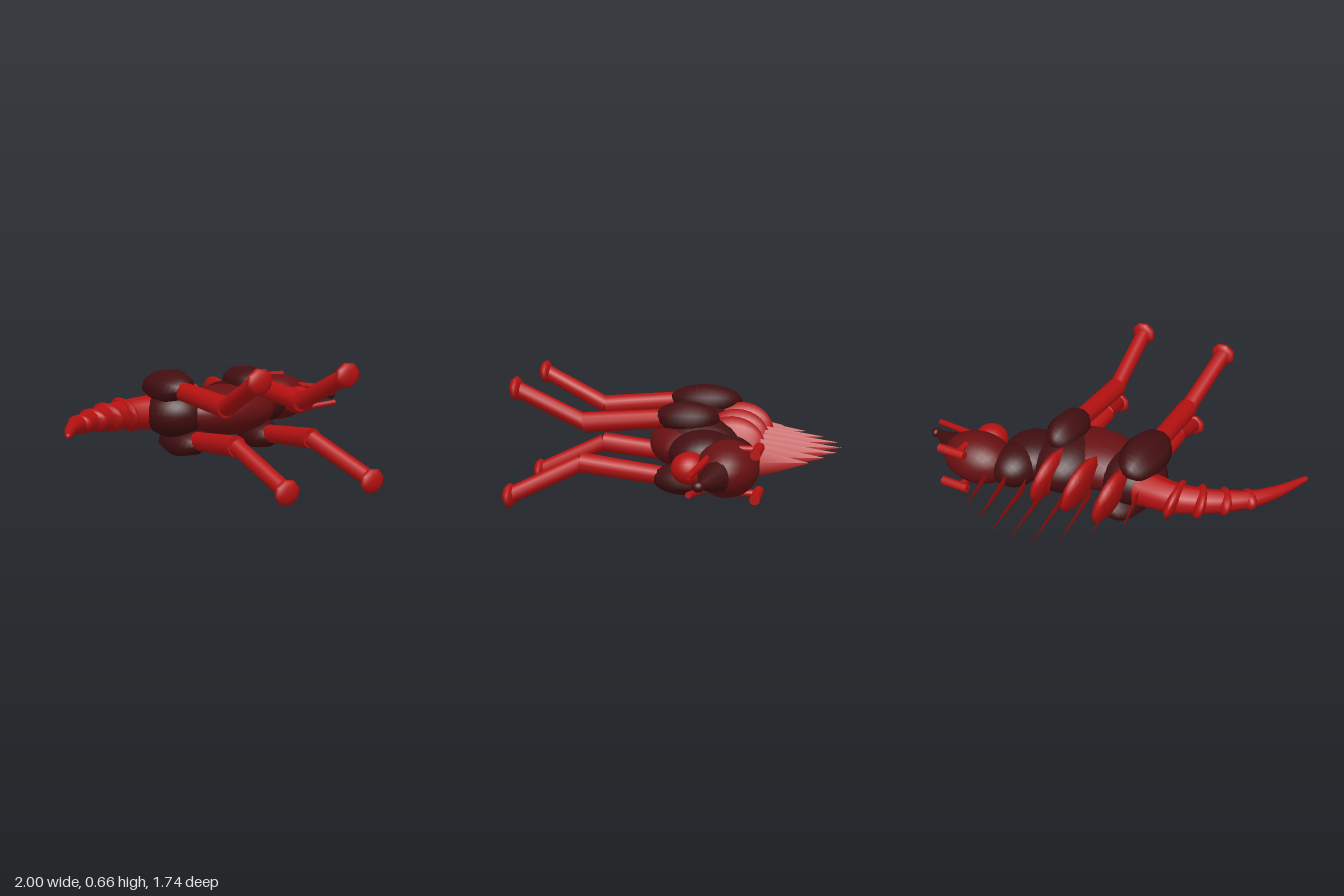
import * as THREE from 'three';

const V = (x, y, z) => new THREE.Vector3(x, y, z);

export function createModel() {
  const make = (name, color) => {
    const m = new THREE.MeshStandardMaterial({ color });
    m.name = name;
    return m;
  };
  const red = make('bright red', 0xb51111);
  const hide = make('dark red hide', 0x681012);
  const dark = make('deep maroon', 0x420e10);

  // The beast is modelled upright (x forward, y up), then laid on its side.
  const beast = new THREE.Group();
  beast.name = 'beast';
  const YAW = -0.28;

  function add(name, geometry, material, pos, parent = beast) {
    const mesh = new THREE.Mesh(geometry, material);
    mesh.name = name;
    mesh.position.copy(pos);
    parent.add(mesh);
    return mesh;
  }
  function ellipsoid(name, material, pos, radii, yaw = 0, sides = 24) {
    const mesh = add(name, new THREE.SphereGeometry(1, sides, 16), material, pos);
    mesh.scale.copy(radii);
    mesh.rotation.y = yaw;
    return mesh;
  }
  // Tapered rod from a to b
  function rod(name, material, a, b, ra, rb, sides = 12) {
    const dir = b.clone().sub(a);
    const geo = new THREE.CylinderGeometry(rb, ra, dir.length(), sides);
    const mesh = add(name, geo, material, a.clone().add(b).multiplyScalar(0.5));
    mesh.quaternion.setFromUnitVectors(V(0, 1, 0), dir.normalize());
    return mesh;
  }

  // Trunk and neck
  ellipsoid('belly', hide, V(0.08, 0.06, 0), V(0.32, 0.205, 0.14));
  ellipsoid('rump', dark, V(-0.18, 0.1, 0), V(0.18, 0.18, 0.14));
  ellipsoid('chest', dark, V(0.19, 0.14, 0), V(0.19, 0.23, 0.15));
  ellipsoid('neckBase', dark, V(0.38, 0.19, 0), V(0.17, 0.18, 0.12));
  ellipsoid('neck', dark, V(0.42, 0.31, 0), V(0.13, 0.15, 0.11));

  // Head, snout and throat pouch
  ellipsoid('head', hide, V(0.635, 0.35, 0), V(0.2, 0.152, 0.135));
  rod('snout', dark, V(0.77, 0.33, 0), V(0.975, 0.267, 0), 0.085, 0.012);
  ellipsoid('nose', dark, V(0.972, 0.268, 0), V(0.026, 0.03, 0.026));
  ellipsoid('throatPouch', red, V(0.67, 0.17, 0), V(0.092, 0.09, 0.08));

  // Legs: each left/right pair is staggered along the body
  const legs = [
    { name: 'front', hip: [0.28, 0.05], knee: [0.27, 0.035], foot: [0.33, 0.083], u: 0.075, r: [0.1, 0.168, 0.085] },
    { name: 'rear', hip: [-0.19, 0.05], knee: [-0.185, 0.03], foot: [-0.18, 0.08], u: 0.09, r: [0.122, 0.203, 0.085] },
  ];
  for (const side of [1, -1]) {
    for (const { name, hip, knee, foot, u, r } of legs) {
      const at = ([x, off], y, z) => V(x - side * off, y, side * z);
      const kneePos = at(knee, -0.475, 0.1);
      const anklePos = at(foot, -0.83, 0.265);
      ellipsoid(name + 'Thigh', dark, at(hip, u, 0.15), V(...r), YAW, 8);
      rod(name + 'UpperLeg', red, at(hip, -0.02, 0.142), kneePos, 0.05, 0.055);
      rod(name + 'LowerLeg', red, kneePos, anklePos, 0.045, 0.043);
      ellipsoid(name + 'Foot', red, at(foot, -0.84, 0.27), V(0.07, 0.034, 0.065), YAW, 8);
    }

    // Horns with crosswise caps, and tusks
    rod('hornStalk', red, V(0.665, 0.41, side * 0.108), V(0.665, 0.49, side * 0.108), 0.018, 0.018);
    rod('hornCap', red, V(0.617, 0.5, side * 0.108), V(0.775, 0.5, side * 0.108), 0.025, 0.025);
    rod('tusk', red, V(0.72, 0.275, side * 0.075), V(0.972, 0.222, side * 0.042), 0.018, 0.016, 8);
  }

  // Broad back plates
  for (const x of [-0.152, 0.035, 0.217]) {
    ellipsoid('backPlate', red, V(x, 0.3, 0), V(0.05, 0.18, 0.16), YAW, 8);
  }

  // Row of flat spikes: base height, tip height
  const spikes = [[0.28, 0.52], [0.35, 0.65], [0.37, 0.76], [0.42, 0.84],
    [0.43, 0.865], [0.46, 0.85], [0.48, 0.795], [0.49, 0.727]];
  spikes.forEach(([base, tip], i) => {
    const h = tip - base;
    const geo = new THREE.ConeGeometry(1, h, 4);
    geo.scale(0.012, 1, 0.065);
    geo.rotateY(YAW);
    const p = geo.attributes.position;
    // Lean the tip backwards
    for (let k = 0; k < p.count; k++) {
      p.setX(k, p.getX(k) - 0.05 * (p.getY(k) / h + 0.5));
    }
    geo.computeVertexNormals();
    add('backSpike', geo, red, V(-0.28 + i * 0.1125, base + h / 2, 0));
  });

  // Tail: tapered sections along a drooping curve
  const curve = new THREE.CatmullRomCurve3([
    V(-0.25, 0.17, 0), V(-0.45, 0.17, 0), V(-0.575, 0.13, 0), V(-0.69, 0.07, 0),
    V(-0.8, -0.01, 0), V(-0.895, -0.13, 0), V(-0.985, -0.3, 0),
  ]);
  const steps = 28, sides = 14;
  const tail = new THREE.TubeGeometry(curve, steps, 1, sides);
  const tp = tail.attributes.position;
  for (let i = 0; i <= steps; i++) {
    const c = curve.getPointAt(i / steps);
    const r = 0.1 - 0.085 * (i / steps);
    for (let j = 0; j <= sides; j++) {
      const k = i * (sides + 1) + j;
      const v = V(0, 0, 0).fromBufferAttribute(tp, k).sub(c).multiplyScalar(r).add(c);
      tp.setXYZ(k, v.x, v.y, v.z);
    }
  }
  tail.computeVertexNormals();
  add('tail', tail, red, V(0, 0, 0));
  ellipsoid('tailTip', red, V(-0.985, -0.3, 0), V(0.015, 0.015, 0.015), 0, 10);

  // Tail rings, turned to follow the curve
  const rings = [[-0.455, 0.178, 0.13, 0.097, 0.1], [-0.575, 0.135, 0.108, 0.083, 0.4],
    [-0.685, 0.075, 0.09, 0.066, 0.55], [-0.79, 0, 0.068, 0.05, 0.75]];
  for (const [x, y, ry, rz, tilt] of rings) {
    const ring = ellipsoid('tailRing', red, V(x, y, 0), V(0.036, ry, rz), 0, 12);
    ring.rotation.set(0, YAW, tilt, 'ZYX');
  }

  // Lay the beast on its side
  beast.rotation.x = -Math.PI / 2;
  beast.position.y = 0.337;
  const model = new THREE.Group();
  model.name = 'spikedBeast';
  model.add(beast);
  return model;
}
